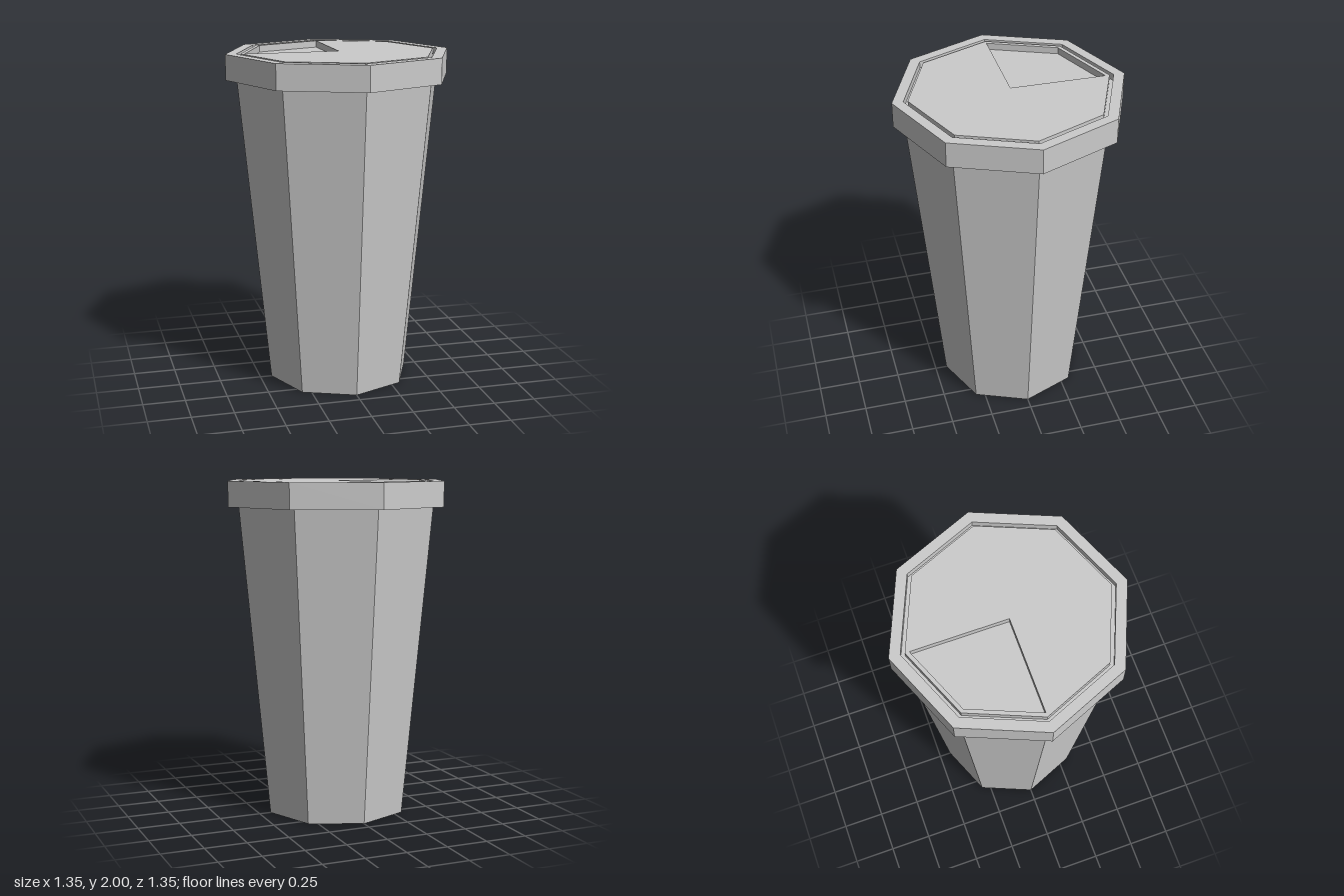
import * as THREE from 'three';

const SIDES = 8;
const TOP = 2, RIM_BOTTOM = 1.85, FLOOR = 1.96;
const BASE_R = 0.43, BODY_R = 0.61, RIM_R = 0.675, PANEL_R = 0.585, POCKET_R = 0.56;

// Corners of a regular octagon (or part of one) in the shape plane
function corners(radius, from, to) {
  const points = [];
  for (let i = from; i <= to; i++) {
    const a = (i / SIDES) * Math.PI * 2;
    points.push(new THREE.Vector2(radius * Math.cos(a), radius * Math.sin(a)));
  }
  return points;
}

export function createModel() {
  const group = new THREE.Group();
  const material = new THREE.MeshStandardMaterial({ color: 0xcccccc, flatShading: true });

  function add(name, geometry, y = 0) {
    const flat = geometry.index ? geometry.toNonIndexed() : geometry;
    flat.computeVertexNormals();
    const mesh = new THREE.Mesh(flat, material);
    mesh.name = name;
    mesh.position.y = y;
    group.add(mesh);
  }

  // Tapered cup
  add('cupBody', new THREE.CylinderGeometry(BODY_R, BASE_R, RIM_BOTTOM, SIDES), RIM_BOTTOM / 2);

  // Overhanging rim with a narrow groove inside it
  const profile = [
    [BODY_R - 0.02, RIM_BOTTOM], [RIM_R, RIM_BOTTOM], [RIM_R, TOP], [BODY_R, TOP],
    [BODY_R, FLOOR], [PANEL_R, FLOOR],
  ].map(([r, y]) => new THREE.Vector2(r, y));
  add('lidRim', new THREE.LatheGeometry(profile, SIDES));

  // Raised lid panel with the back right quarter cut out
  const panel = new THREE.Shape(corners(PANEL_R, 0, SIDES - 1));
  panel.holes.push(new THREE.Path([new THREE.Vector2(0, 0), ...corners(POCKET_R, 2, 4)]));
  const panelGeometry = new THREE.ExtrudeGeometry(panel, { depth: TOP - FLOOR, bevelEnabled: false });
  add('lidPanel', panelGeometry.rotateX(-Math.PI / 2), FLOOR);

  // Floor of the drinking recess
  const floor = new THREE.ShapeGeometry(
    new THREE.Shape([new THREE.Vector2(0, 0), ...corners(POCKET_R, 2, 4)]));
  add('recessFloor', floor.rotateX(-Math.PI / 2), FLOOR);

  return group;
}
